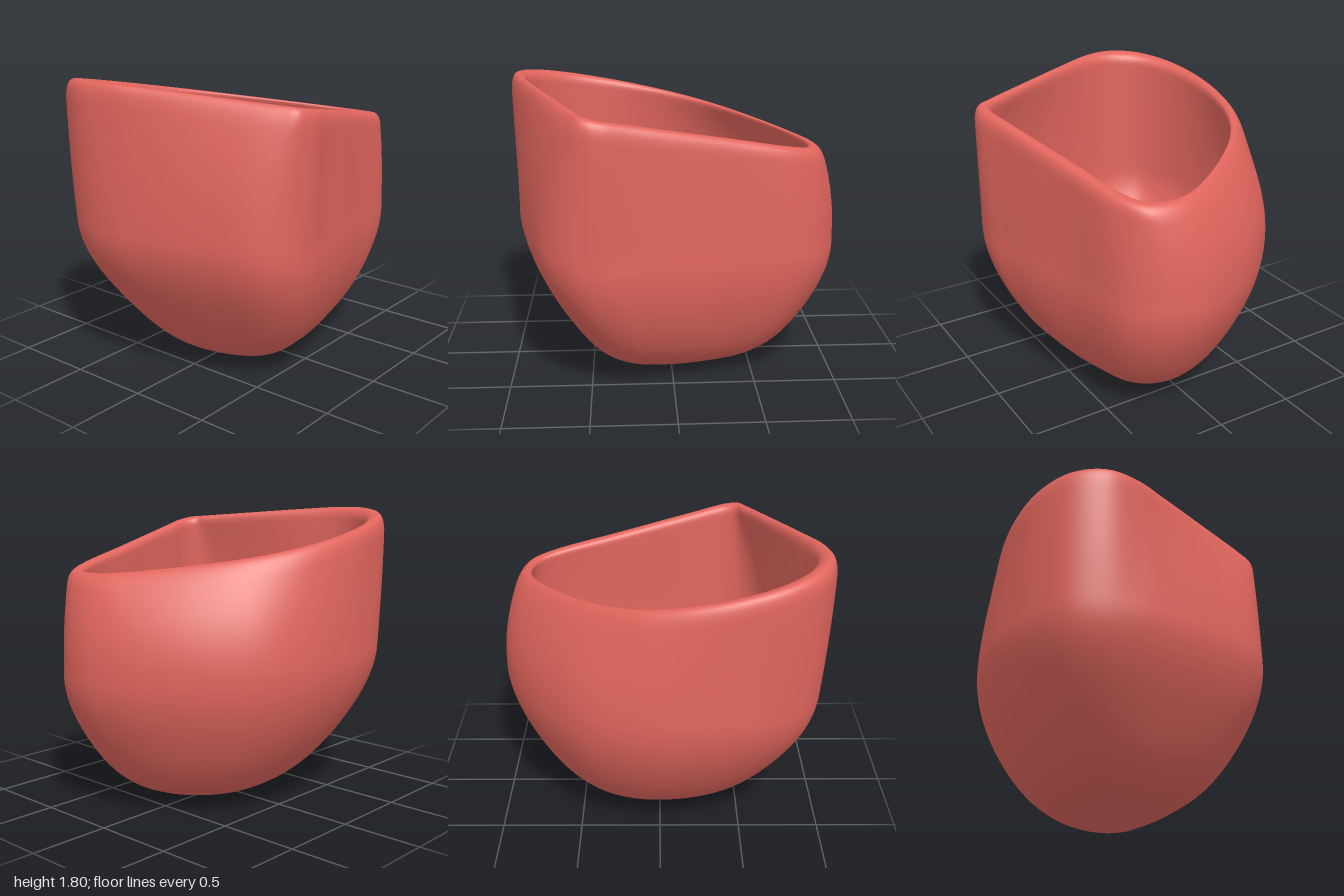
import * as THREE from 'three';

const SEGMENTS = 132;
const BELLY = 0.9; // height of the widest section
const WALL = 0.095; // wall thickness
const { lerp } = THREE.MathUtils;

// Matching points of three horizontal outlines, as [x, z]
const RIM = [[-.43, .83], [-.53, .81], [-.58, .72], [-.72, .4], [-.88, .03], [-.975, -.2], [-1, -.4], [-.91, -.6],
  [-.7, -.74], [-.4, -.8], [-.1, -.775], [.15, -.69], [.4, -.5], [.6, -.27], [.78, 0], [.87, .17], [.885, .32],
  [.84, .46], [.69, .555], [.3, .65], [0, .725], [-.25, .786]];
const MID = [[-.42, .81], [-.6, .785], [-.755, .65], [-.86, .35], [-.94, 0], [-.97, -.2], [-.955, -.42], [-.87, -.6],
  [-.68, -.73], [-.4, -.815], [-.1, -.84], [.15, -.82], [.43, -.72], [.67, -.51], [.87, -.23], [.97, 0], [1, .17],
  [.95, .38], [.78, .55], [.35, .645], [0, .73], [-.25, .78]];
const INNER = [[-.43, .725], [-.5, .7], [-.535, .62], [-.66, .35], [-.8, .03], [-.875, -.18], [-.885, -.36], [-.81, -.52],
  [-.62, -.65], [-.36, -.705], [-.1, -.685], [.12, -.61], [.33, -.47], [.52, -.27], [.7, -.02], [.785, .15], [.8, .29],
  [.76, .4], [.66, .465], [.28, .555], [0, .625], [-.25, .685]];

// Smooth closed outline, moved inwards by inset
function sample(points, inset = 0) {
  const curve = new THREE.CatmullRomCurve3(points.map(([x, z]) => new THREE.Vector3(x, 0, z)), true);
  return Array.from({ length: SEGMENTS }, (_, i) => {
    const p = curve.getPoint(i / SEGMENTS), d = curve.getTangent(i / SEGMENTS);
    return new THREE.Vector3(p.x - d.z * inset, 0, p.z + d.x * inset);
  });
}

// The rim lies in a plane that slopes down towards +x
const rimHeight = (x) => 1.62 - 0.195 * x;

// Rounded bowl: the section shrinks and becomes rounder towards the flattened bottom
function bowlRing(section, a, inset) {
  const flatten = Math.sin(4 * a) * Math.cos(a);
  const scaleX = Math.sin(a) + 0.07 * flatten, scaleZ = Math.sin(a) + 0.035 * flatten;
  const y = inset + (BELLY - inset) * (1 - Math.cos(a));
  const round = 0.75 * (1 - Math.sin(a));
  const shiftX = 0.045 * Math.sin(2 * a), shiftZ = 0.055 * Math.cos(a);
  return section.map((p) => {
    const angle = Math.atan2(p.z / 0.82, p.x / 0.97);
    const x = lerp(p.x, (0.97 - inset) * Math.cos(angle), round);
    const z = lerp(p.z, (0.82 - inset) * Math.sin(angle), round);
    return new THREE.Vector3(x * scaleX + shiftX, y, z * scaleZ + shiftZ);
  });
}

// Upper wall: eases from the belly section to the rim section
function wallRing(section, rim, s) {
  return section.map((p, i) => {
    const widens = rim[i].lengthSq() > p.lengthSq();
    const v = p.clone().lerp(rim[i], widens ? 1 - (1 - s) ** 2 : s * s);
    v.y = lerp(BELLY, rimHeight(rim[i].x), s);
    return v;
  });
}

// Rounded edge: bends from the wall over its upper corner to the crest
function edgeRing(start, corner, crest, t) {
  return start.map((p, i) => new THREE.QuadraticBezierCurve3(p, corner[i], crest[i]).getPoint(t));
}

function loft(rings) {
  const positions = [], index = [];
  for (const ring of rings) for (const p of ring) positions.push(p.x, p.y, p.z);
  for (let r = 0; r < rings.length - 1; r++) {
    for (let i = 0; i < SEGMENTS; i++) {
      const j = (i + 1) % SEGMENTS;
      const a = r * SEGMENTS + i, b = a + SEGMENTS;
      const c = r * SEGMENTS + j, d = c + SEGMENTS;
      index.push(a, b, c, c, b, d);
    }
  }
  const geometry = new THREE.BufferGeometry();
  geometry.setAttribute('position', new THREE.Float32BufferAttribute(positions, 3));
  geometry.setIndex(index);
  geometry.computeVertexNormals();
  return geometry;
}

// Rings of one side of the shell, from the bottom to the crest of the lip;
// lip is the share of the upper wall below the rounded edge
function shellSide(rim, crest, inset, lip) {
  const section = sample(MID, inset);
  const rings = [];
  for (let i = 0; i <= 24; i++) rings.push(bowlRing(section, Math.max(i / 24, 0.001) * Math.PI / 2, inset));
  for (let i = 1; i <= 14; i++) rings.push(wallRing(section, rim, lip * i / 14));
  const start = rings[rings.length - 1], corner = wallRing(section, rim, 1);
  for (let i = 1; i <= 8; i++) rings.push(edgeRing(start, corner, crest, i / 8));
  return rings;
}

export function createModel() {
  const rim = sample(RIM), inner = sample(INNER);
  const crest = rim.map((p, i) => {
    const v = p.clone().lerp(inner[i], 0.5);
    v.y = rimHeight(v.x);
    return v;
  });

  // Outside up to the crest, then down the inside
  const outside = shellSide(rim, crest, 0, 0.85);
  const inside = shellSide(inner, crest, WALL, 0.92);
  const rings = [...outside, ...inside.reverse().slice(1)];

  const cup = new THREE.Mesh(loft(rings), new THREE.MeshStandardMaterial({ color: 0xe0655d }));
  cup.name = 'cupShell';
  const group = new THREE.Group();
  group.name = 'roundedCup';
  group.add(cup);
  return group;
}
